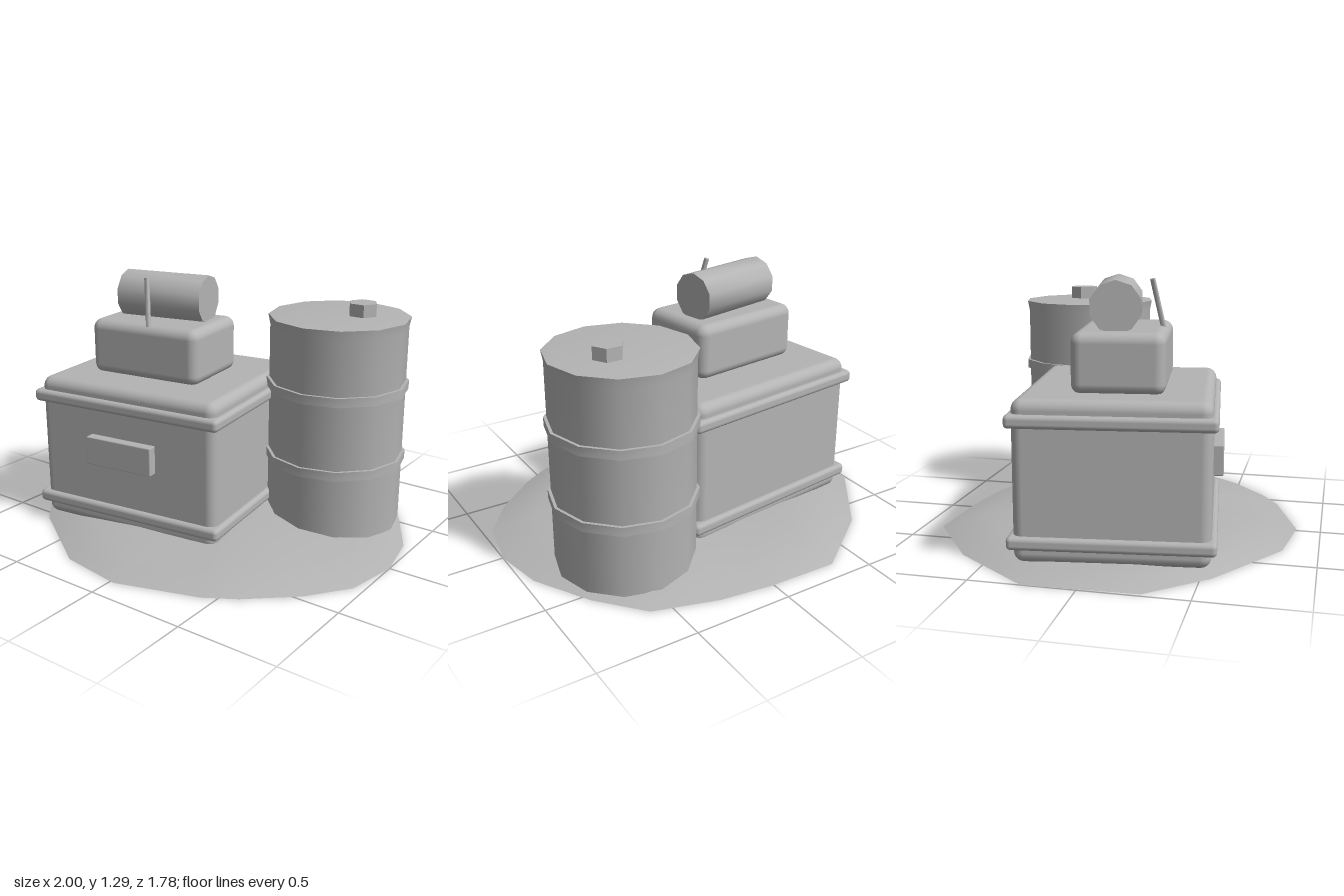
import * as THREE from 'three';
import { toCreasedNormals } from 'three/addons/utils/BufferGeometryUtils.js';
import { RoundedBoxGeometry } from 'three/addons/geometries/RoundedBoxGeometry.js';

const grey = new THREE.MeshStandardMaterial({ color: 0xb4b4b4 });
grey.name = 'plain grey';

function add(parent, name, geometry, x = 0, y = 0, z = 0) {
  const mesh = new THREE.Mesh(geometry, grey);
  mesh.name = name;
  mesh.position.set(x, y, z);
  parent.add(mesh);
  return mesh;
}

const creased = (geometry, angle = 0.6) => toCreasedNormals(geometry, angle);

// Low mound of earth: an irregular outline shrunk in rings towards the middle
function moundGeometry() {
  const outline = [
    [-0.35, -0.9], [0.01, -0.89], [0.28, -0.855], [0.6, -0.76], [0.79, -0.54], [0.95, -0.26],
    [1, 0], [0.95, 0.27], [0.8, 0.47], [0.58, 0.66], [0.43, 0.75], [0.24, 0.81], [0.02, 0.88],
    [-0.31, 0.83], [-0.74, 0.55], [-0.98, 0.28], [-1, -0.25], [-0.71, -0.64],
  ];
  const rings = [[1, 0], [0.9, 0.03], [0.78, 0.055], [0.6, 0.075], [0.3, 0.08]];
  const n = outline.length;
  const positions = [];
  const index = [];
  for (const [scale, height] of rings) {
    outline.forEach(([x, z]) => {
      const lump = 1 + 0.25 * Math.sin(5 * x * scale + 1) * Math.cos(4 * z * scale);
      positions.push(x * scale, height * lump, z * scale);
    });
  }
  const top = positions.push(0, 0.08, 0) / 3 - 1;
  const bottom = positions.push(0, 0, 0) / 3 - 1;
  const last = (rings.length - 1) * n;
  for (let i = 0; i < n; i++) {
    const j = (i + 1) % n;
    for (let r = 0; r < last; r += n) {
      index.push(r + i, r + n + i, r + j, r + j, r + n + i, r + n + j);
    }
    index.push(last + i, top, last + j);
    index.push(i, j, bottom);
  }
  const geometry = new THREE.BufferGeometry();
  geometry.setAttribute('position', new THREE.Float32BufferAttribute(positions, 3));
  geometry.setIndex(index);
  return creased(geometry, 0.5);
}

function createCrate() {
  const crate = new THREE.Group();
  crate.name = 'crate';
  crate.position.set(-0.295, 0, 0.04);
  crate.rotation.y = 0.125;
  add(crate, 'crateBody', new RoundedBoxGeometry(1.02, 0.755, 0.895, 3, 0.05), 0, 0.4125, 0);
  for (const [name, y] of [['lowerTrim', 0.135], ['upperTrim', 0.693]]) {
    add(crate, name, new RoundedBoxGeometry(1.07, 0.063, 0.945, 2, 0.022), 0, y, 0);
  }
  add(crate, 'frontPlate', new RoundedBoxGeometry(0.377, 0.147, 0.06, 1, 0.006), -0.01, 0.458, 0.465);
  return crate;
}

function createTopUnit() {
  const unit = new THREE.Group();
  unit.name = 'topUnit';
  const box = add(unit, 'smallBox', new RoundedBoxGeometry(0.625, 0.285, 0.435, 3, 0.05), -0.32, 0.923, 0.055);
  box.rotation.y = 0.125;

  // Lying drum
  const drum = new THREE.CylinderGeometry(0.123, 0.123, 0.465, 10);
  drum.rotateY(Math.PI / 10);
  drum.rotateZ(Math.PI / 2);
  add(unit, 'lyingDrum', creased(drum, 0.8), -0.32, 1.172, 0.02).rotation.y = 0.2;

  // Leaning lever
  const from = new THREE.Vector3(-0.273, 1.05, 0.237);
  const to = new THREE.Vector3(-0.317, 1.288, 0.19);
  const direction = to.clone().sub(from);
  const rod = new THREE.CylinderGeometry(0.013, 0.013, direction.length(), 8);
  const lever = add(unit, 'lever', creased(rod, 0.9));
  lever.position.copy(from).add(to).multiplyScalar(0.5);
  lever.quaternion.setFromUnitVectors(new THREE.Vector3(0, 1, 0), direction.normalize());
  return unit;
}

function createBarrel() {
  const barrel = new THREE.Group();
  barrel.name = 'barrel';
  barrel.position.set(0.493, 0, -0.337);

  // Shell with a slightly flared rim
  const profile = [[0, 0.03], [0.347, 0.03], [0.347, 1.06], [0.357, 1.112], [0.34, 1.114], [0, 1.114]];
  const shell = new THREE.LatheGeometry(profile.map(([r, y]) => new THREE.Vector2(r, y)), 12);
  add(barrel, 'barrelShell', creased(shell));

  for (const [name, y] of [['lowerHoop', 0.383], ['upperHoop', 0.762]]) {
    add(barrel, name, creased(new THREE.CylinderGeometry(0.362, 0.362, 0.046, 12)), 0, y, 0);
  }

  // Hexagonal bung with points along x
  const bung = new THREE.CylinderGeometry(0.075, 0.075, 0.08, 6);
  bung.rotateY(Math.PI / 6);
  add(barrel, 'bung', creased(bung), 0.097, 1.138, -0.06);
  return barrel;
}

export function createModel() {
  const model = new THREE.Group();
  model.name = 'crateAndBarrel';
  add(model, 'mound', moundGeometry());
  model.add(createCrate(), createTopUnit(), createBarrel());
  return model;
}
